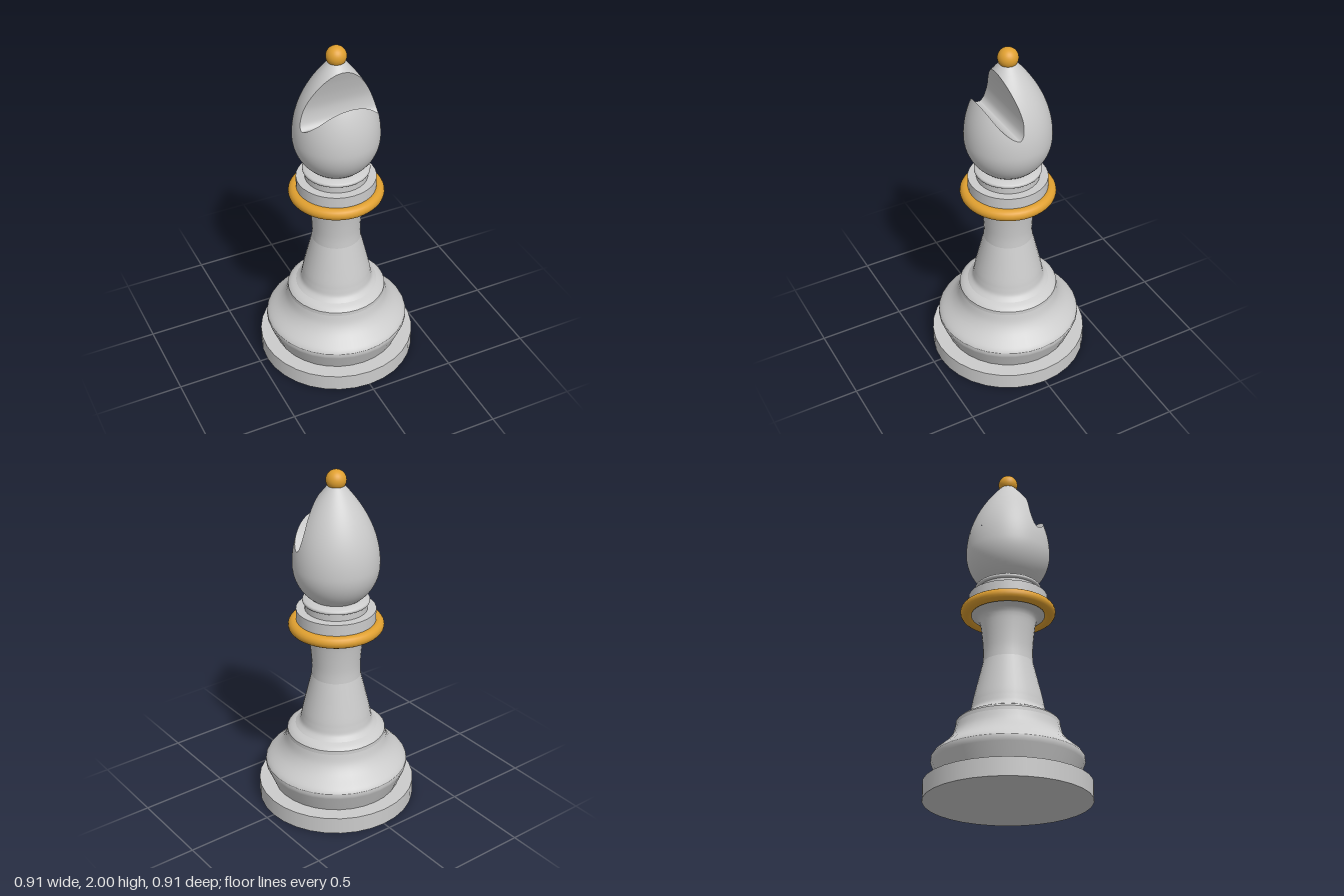
import * as THREE from 'three';

const grey = new THREE.MeshStandardMaterial({ color: 0xcccccc });
const gold = new THREE.MeshStandardMaterial({ color: 0xe0a030 });
const SIDES = 32;

function add(group, name, geometry, material = grey, y = 0) {
  const mesh = new THREE.Mesh(geometry, material);
  mesh.name = name;
  mesh.position.y = y;
  group.add(mesh);
  return mesh;
}

const v2 = (pairs) => pairs.map(([a, b]) => new THREE.Vector2(a, b));
const lathe = (pairs) => new THREE.LatheGeometry(v2(pairs), SIDES);
const smoothLathe = (pairs, n) =>
  new THREE.LatheGeometry(new THREE.SplineCurve(v2(pairs)).getPoints(n), SIDES);
const disc = (r, y0, y1) =>
  new THREE.CylinderGeometry(r, r, y1 - y0, SIDES).translate(0, (y0 + y1) / 2, 0);

// Surface from equal-length rows of points
function grid(rows, normals) {
  const n = rows[0].length;
  const index = [];
  for (let i = 0; i < rows.length - 1; i++) {
    for (let j = 0; j < n - 1; j++) {
      const a = i * n + j;
      index.push(a, a + 1, a + n + 1, a, a + n + 1, a + n);
    }
  }
  const g = new THREE.BufferGeometry();
  g.setAttribute('position', new THREE.Float32BufferAttribute(rows.flat(2), 3));
  g.setIndex(index);
  if (normals) g.setAttribute('normal', new THREE.Float32BufferAttribute(normals.flat(2), 3));
  else g.computeVertexNormals();
  return g;
}

// Egg-shaped head: radius at height y
const WIDEST = 1.47;
function headRadius(y) {
  return y < WIDEST
    ? 0.24 * Math.sqrt(1 - ((WIDEST - y) / 0.245) ** 2)
    : 0.24 * (1 - ((y - WIDEST) / 0.492) ** 2.045);
}

// Part of the head's skin; each row is [height, start angle, end angle], angle 0 at the front
function skin(rows, segments) {
  const points = [], normals = [];
  for (const [y, a0, a1] of rows) {
    const r = headRadius(y);
    const slope = (headRadius(y + 1e-4) - headRadius(y - 1e-4)) / 2e-4;
    const len = Math.hypot(1, slope);
    const p = [], q = [];
    for (let j = 0; j <= segments; j++) {
      const a = a0 + ((a1 - a0) * j) / segments;
      p.push([r * Math.sin(a), y, r * Math.cos(a)]);
      q.push([Math.sin(a) / len, -slope / len, Math.cos(a) / len]);
    }
    points.push(p);
    normals.push(q);
  }
  return grid(points, normals);
}

function fullRows(y0, y1, n) {
  return Array.from({ length: n + 1 }, (_, i) => [y0 + ((y1 - y0) * i) / n, 0, Math.PI * 2]);
}

function buildHead() {
  const head = new THREE.Group();
  head.name = 'head';

  // Notch profile as (z, y): down the lower lip, round the bottom, up the back wall
  const notch = new THREE.SplineCurve(v2([
    [headRadius(1.718), 1.718], [0.138, 1.64], [0.095, 1.593], [0.062, 1.573],
    [0.045, 1.574], [0.027, 1.603], [0.02, 1.667], [0.03, 1.735], [0.052, 1.815],
    [headRadius(1.88), 1.88],
  ])).getPoints(63);
  let low = 0;
  notch.forEach((p, i) => { if (p.y < notch[low].y) low = i; });
  const cutAngle = (p) => Math.acos(Math.min(1, p.x / headRadius(p.y)));

  const lipRows = notch.slice(0, low + 1).reverse().map((p) => [p.y, -cutAngle(p), cutAngle(p)]);
  const backRows = notch.slice(low).map((p) => [p.y, cutAngle(p), Math.PI * 2 - cutAngle(p)]);

  add(head, 'headLower', skin(fullRows(1.265, notch[low].y, 20), 96));
  add(head, 'headLip', skin(lipRows, 48));
  add(head, 'headBack', skin(backRows, 64));
  add(head, 'headTip', skin(fullRows(1.88, 1.95, 8), 64));

  // Notch walls run straight across the head
  add(head, 'notchWall', grid(notch.map((p) => {
    const w = headRadius(p.y) * Math.sin(cutAngle(p));
    return [[-w, p.y, p.x], [w, p.y, p.x]];
  })));
  return head;
}

export function createModel() {
  const model = new THREE.Group();
  model.name = 'chessPiece';

  // Base and flared foot
  add(model, 'base', disc(0.453, 0, 0.1));
  add(model, 'footUnderside', lathe([[0.365, 0.095], [0.408, 0.2], [0.414, 0.218], [0.412, 0.235]]));
  add(model, 'foot', smoothLathe(
    [[0.412, 0.235], [0.395, 0.258], [0.335, 0.31], [0.3, 0.36], [0.284, 0.415]], 16));
  add(model, 'footBand', lathe([[0.284, 0.415], [0.283, 0.437]]));
  add(model, 'footShoulder', smoothLathe([[0.283, 0.437], [0.265, 0.453], [0.235, 0.467]], 6));

  // Stem
  add(model, 'stemLower', smoothLathe(
    [[0.235, 0.467], [0.21, 0.492], [0.2, 0.53], [0.188, 0.59], [0.14, 0.79]], 20));
  add(model, 'stemUpper', smoothLathe(
    [[0.14, 0.79], [0.138, 0.86], [0.147, 0.97], [0.162, 1.05], [0.2, 1.08], [0.22, 1.09]], 18));

  // Collar and neck rings
  const collar = new THREE.TorusGeometry(0.234, 0.034, 16, 48).rotateX(Math.PI / 2);
  add(model, 'collar', collar, gold, 1.103);
  add(model, 'collarDisc', disc(0.223, 1.09, 1.2));
  add(model, 'neck', disc(0.175, 1.2, 1.242));
  add(model, 'neckRing', smoothLathe(
    [[0.172, 1.238], [0.186, 1.244], [0.186, 1.258], [0.172, 1.266], [0.155, 1.272], [0.135, 1.275]], 16));

  model.add(buildHead());
  add(model, 'finial', new THREE.SphereGeometry(0.056, 32, 20), gold, 1.944);
  return model;
}
